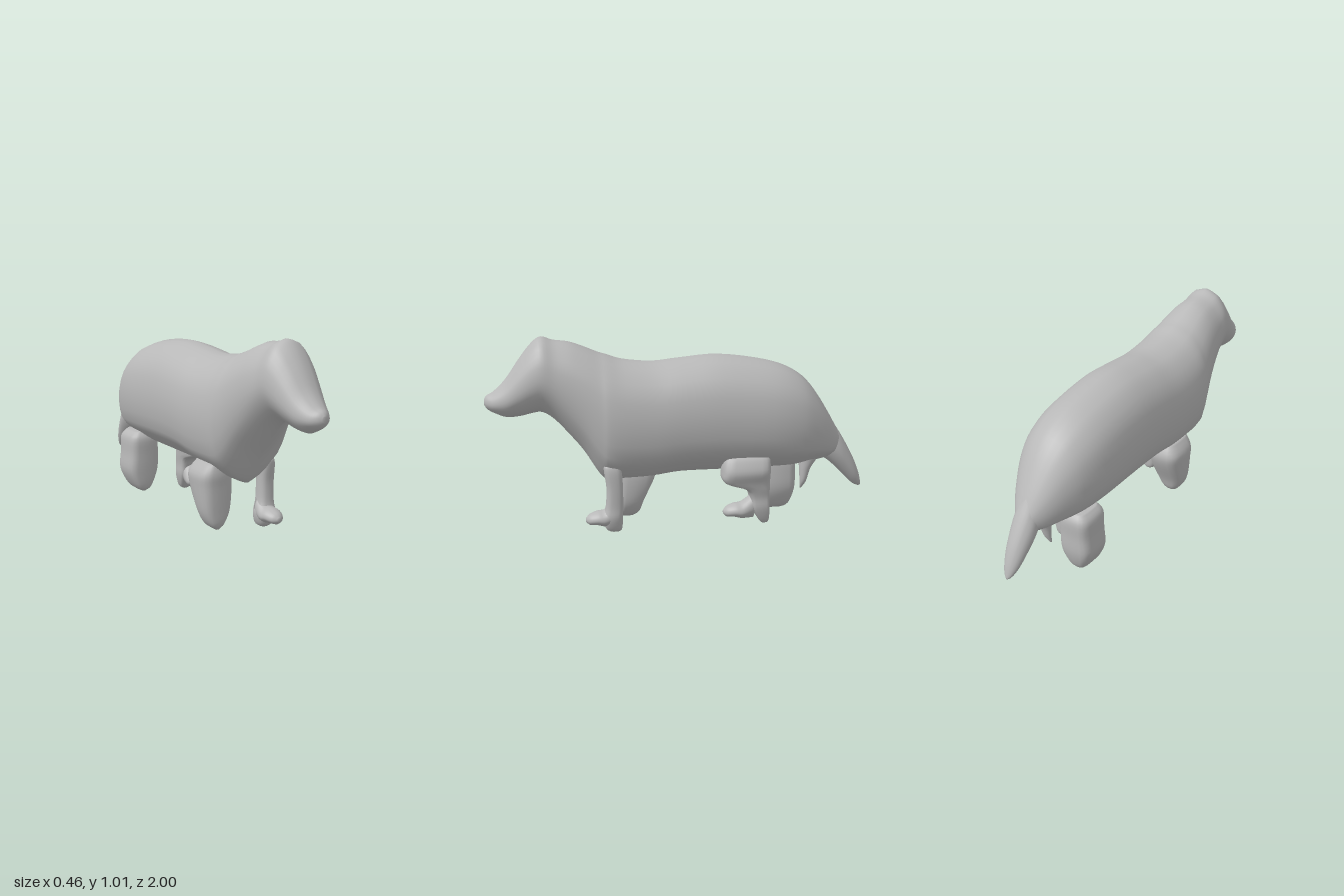
import * as THREE from 'three';

// Catmull-Rom through rows of numbers, giving `steps` rows per span
function smoothRows(rows, steps) {
  const out = [];
  const last = rows.length - 1;
  for (let i = 0; i < last; i++) {
    const [a, b, c, d] = [i - 1, i, i + 1, i + 2].map(k => rows[Math.min(last, Math.max(0, k))]);
    for (let s = 0; s < steps; s++) {
      const t = s / steps;
      out.push(b.map((v, k) => {
        const m0 = (c[k] - a[k]) / 2, m1 = (d[k] - v) / 2;
        return (2 * t ** 3 - 3 * t * t + 1) * v + (t ** 3 - 2 * t * t + t) * m0 +
          (3 * t * t - 2 * t ** 3) * c[k] + (t ** 3 - t * t) * m1;
      }));
    }
  }
  out.push(rows[last]);
  return out;
}

// Skin over closed rings that run counter-clockwise about the direction of travel
function loft(rings) {
  const n = rings[0].length, pos = [], index = [];
  rings.forEach(ring => ring.forEach(p => pos.push(...p)));
  for (let i = 0; i < rings.length - 1; i++) {
    for (let j = 0; j < n; j++) {
      const a = i * n + j, b = i * n + (j + 1) % n;
      index.push(a, b, b + n, a, b + n, a + n);
    }
  }
  [0, rings.length - 1].forEach(r => {
    const centre = pos.length / 3;
    pos.push(...[0, 1, 2].map(k => rings[r].reduce((sum, p) => sum + p[k], 0) / n));
    for (let j = 0; j < n; j++) {
      const a = r * n + j, b = r * n + (j + 1) % n;
      index.push(...(r === 0 ? [centre, b, a] : [centre, a, b]));
    }
  });
  const geo = new THREE.BufferGeometry();
  geo.setAttribute('position', new THREE.Float32BufferAttribute(pos, 3));
  geo.setIndex(index);
  geo.computeVertexNormals();
  return geo;
}

// Half cross-sections from belly to back: [share of half width, share of height]
const BODY_HALF = smoothRows([[0, 0], [0.32, 0.05], [0.64, 0.14], [0.89, 0.25], [1, 0.48], [0.93, 0.7], [0.74, 0.845], [0.42, 0.955], [0, 1]], 2);
const HEAD_HALF = smoothRows([[0, 0], [0.35, 0.06], [0.68, 0.17], [0.92, 0.32], [1, 0.48], [0.93, 0.66], [0.76, 0.8], [0.45, 0.94], [0, 1]], 2);

// Rings along z from rows [z, bottom, top, half width, head share]
function bodyRings(rows) {
  return smoothRows(rows, 4).map(([z, bottom, top, w, head]) => {
    const half = BODY_HALF.map((p, i) => [0, 1].map(k => p[k] * (1 - head) + HEAD_HALF[i][k] * head));
    const right = half.map(([x, t]) => [x * w, bottom + t * (top - bottom), z]);
    const left = right.slice(1, -1).reverse().map(([x, y, zz]) => [-x, y, zz]);
    return [...right, ...left];
  });
}

// Rings going up y from rows [y, x min, x max, z min, z max]; a smaller power is boxier
function legRings(rows, power) {
  return smoothRows(rows, 4).map(([y, x0, x1, z0, z1]) =>
    Array.from({ length: 20 }, (_, j) => {
      const a = j / 20 * Math.PI * 2, c = Math.cos(a), s = -Math.sin(a);
      return [
        (x0 + x1) / 2 + (x1 - x0) / 2 * Math.sign(c) * Math.abs(c) ** power, y,
        (z0 + z1) / 2 + (z1 - z0) / 2 * Math.sign(s) * Math.abs(s) ** power];
    }));
}

export function createModel() {
  const model = new THREE.Group();
  const grey = new THREE.MeshStandardMaterial({ color: 0xb8b8b8 });
  grey.name = 'grey';
  const add = (name, geo) => {
    const mesh = new THREE.Mesh(geo, grey);
    mesh.name = name;
    model.add(mesh);
    return mesh;
  };

  // Trunk, neck and head in one skin
  add('body', loft(bodyRings([
    [-0.88, 0.35, 0.41, 0.03, 0], [-0.8, 0.31, 0.56, 0.1, 0], [-0.7, 0.29, 0.712, 0.16, 0],
    [-0.6, 0.275, 0.8, 0.2, 0], [-0.45, 0.272, 0.858, 0.224, 0], [-0.2, 0.272, 0.896, 0.227, 0],
    [0, 0.272, 0.885, 0.227, 0], [0.15, 0.255, 0.872, 0.228, 0], [0.3, 0.25, 0.888, 0.228, 0],
    [0.385, 0.25, 0.915, 0.222, 0], [0.43, 0.29, 0.93, 0.208, 0], [0.5, 0.405, 0.96, 0.186, 0.2],
    [0.57, 0.495, 0.985, 0.167, 0.5], [0.65, 0.585, 0.997, 0.15, 0.9], [0.71, 0.625, 1.015, 0.143, 1],
    [0.76, 0.623, 0.98, 0.132, 1], [0.82, 0.61, 0.905, 0.115, 1], [0.89, 0.607, 0.805, 0.092, 1],
    [0.95, 0.63, 0.745, 0.065, 1], [0.985, 0.652, 0.725, 0.036, 1], [1, 0.675, 0.705, 0.01, 1]])));

  // Drooping tail
  add('tail', loft(bodyRings([
    [-1, 0.14, 0.155, 0.006, 1], [-0.985, 0.137, 0.215, 0.026, 1], [-0.95, 0.155, 0.302, 0.046, 1],
    [-0.9, 0.205, 0.395, 0.06, 1], [-0.85, 0.255, 0.475, 0.067, 1], [-0.79, 0.305, 0.555, 0.06, 1],
    [-0.7, 0.36, 0.58, 0.03, 1]])));

  // Slim left legs
  add('leftFrontLeg', loft(legRings([
    [0, 0.105, 0.125, 0.34, 0.38], [0.02, 0.075, 0.15, 0.325, 0.41], [0.08, 0.062, 0.168, 0.322, 0.425],
    [0.14, 0.08, 0.165, 0.32, 0.41], [0.24, 0.085, 0.166, 0.32, 0.405], [0.32, 0.085, 0.165, 0.325, 0.415],
    [0.36, 0.095, 0.155, 0.34, 0.415], [0.373, 0.115, 0.135, 0.36, 0.39]], 0.75)));
  add('leftBackLeg', loft(legRings([
    [0, 0.105, 0.125, -0.44, -0.42], [0.02, 0.08, 0.15, -0.453, -0.4], [0.09, 0.06, 0.17, -0.455, -0.36],
    [0.15, 0.06, 0.17, -0.453, -0.35], [0.2, 0.055, 0.18, -0.452, -0.32], [0.24, 0.05, 0.19, -0.452, -0.21],
    [0.3, 0.04, 0.207, -0.452, -0.2], [0.36, 0.04, 0.185, -0.452, -0.21], [0.385, 0.06, 0.16, -0.44, -0.23]], 0.5)));

  // Tapering paws, pointing forward
  [['leftFrontPaw', 0.512], ['leftBackPaw', -0.21]].forEach(([name, tip]) => {
    const paw = add(name, loft(bodyRings([
      [-0.16, 0.03, 0.17, 0.045, 1], [-0.1, 0.03, 0.122, 0.056, 1], [-0.06, 0.04, 0.115, 0.053, 1],
      [-0.02, 0.043, 0.1, 0.036, 1], [0, 0.06, 0.08, 0.01, 1]])));
    paw.position.set(0.113, 0, tip);
  });

  // Broad, wedge-shaped right legs
  add('rightFrontLeg', loft(legRings([
    [0, -0.125, -0.105, 0.24, 0.3], [0.03, -0.16, -0.07, 0.205, 0.318], [0.1, -0.19, -0.035, 0.18, 0.322],
    [0.22, -0.205, -0.02, 0.125, 0.326], [0.29, -0.205, -0.03, 0.115, 0.33], [0.35, -0.165, -0.07, 0.15, 0.32]], 0.65)));
  add('rightBackLeg', loft(legRings([
    [0, -0.125, -0.105, -0.59, -0.49], [0.03, -0.165, -0.065, -0.625, -0.465], [0.12, -0.206, -0.025, -0.65, -0.458],
    [0.22, -0.2, -0.02, -0.65, -0.456], [0.31, -0.195, -0.03, -0.65, -0.456], [0.35, -0.16, -0.07, -0.62, -0.48]], 0.55)));

  // Small spur under the rump
  add('rumpSpur', loft(legRings([
    [0.145, 0.003, 0.012, -0.664, -0.655], [0.19, 0, 0.045, -0.685, -0.65],
    [0.26, -0.005, 0.056, -0.705, -0.645], [0.31, -0.02, 0.06, -0.74, -0.64], [0.36, -0.03, 0.065, -0.77, -0.64]], 1)));

  return model;
}
